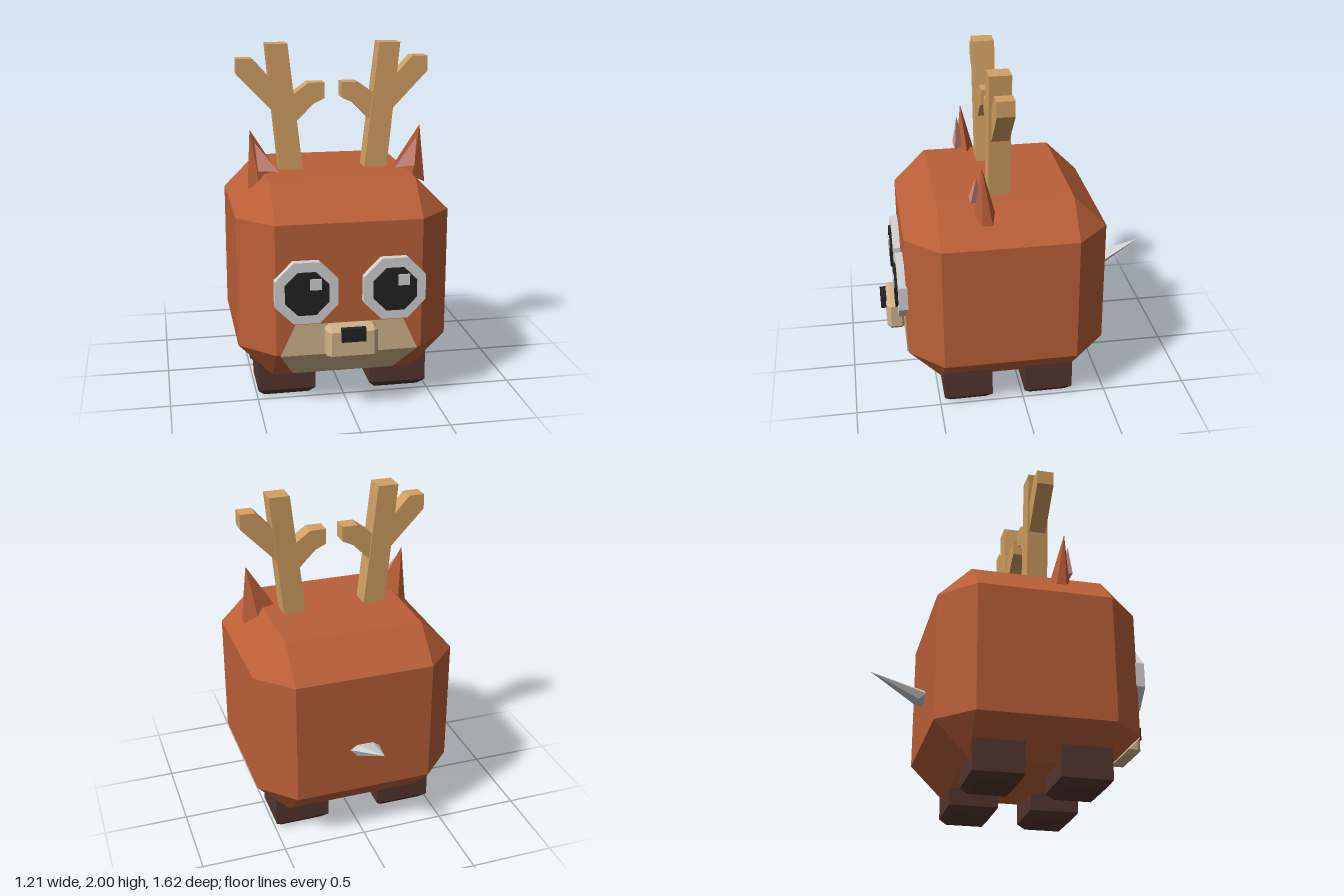
import * as THREE from 'three';
import { ConvexGeometry } from 'three/addons/geometries/ConvexGeometry.js';

const material = (name, color) => {
  const m = new THREE.MeshStandardMaterial({ color });
  m.name = name;
  return m;
};

export function createModel() {
  const fur = material('russet fur', 0xbc6038);
  const hoofBrown = material('dark brown', 0x55362f);
  const tan = material('tan', 0xd2b48c);
  const antlerTan = material('antler', 0xd2a163);
  const pink = material('ear pink', 0xdf9386);
  const pale = material('pale grey', 0xd2d2d2);
  const black = material('black', 0x222222);

  const model = new THREE.Group();
  model.name = 'deer';

  const add = (name, geometry, mat, x = 0, y = 0, z = 0) => {
    const mesh = new THREE.Mesh(geometry, mat);
    mesh.name = name;
    mesh.position.set(x, y, z);
    model.add(mesh);
    return mesh;
  };
  const hull = (points) => new ConvexGeometry(points.map((p) => new THREE.Vector3(...p)));

  // Box with every edge cut off by c
  const chamferBox = (w, h, d, c) => {
    const points = [];
    for (const sx of [-1, 1]) for (const sy of [-1, 1]) for (const sz of [-1, 1]) {
      const x = w / 2, y = h / 2, z = d / 2;
      points.push([sx * x, sy * (y - c), sz * (z - c)]);
      points.push([sx * (x - c), sy * y, sz * (z - c)]);
      points.push([sx * (x - c), sy * (y - c), sz * z]);
    }
    return hull(points);
  };

  // Flat outline given thickness along z
  const slab = (points, z0, z1) => {
    const shape = new THREE.Shape(points.map(([x, y]) => new THREE.Vector2(x, y)));
    return new THREE.ExtrudeGeometry(shape, { depth: z1 - z0, bevelEnabled: false }).translate(0, 0, z0);
  };
  const octagon = (apothem) => Array.from({ length: 8 }, (_, i) => {
    const a = (i + 0.5) * Math.PI / 4, r = apothem / Math.cos(Math.PI / 8);
    return [r * Math.cos(a), r * Math.sin(a)];
  });

  add('body', chamferBox(1.21, 1.135, 1.165, 0.193), fur, 0, 0.7075, 0.0875);

  // Feet, with the lower edges cut
  const footPoints = [];
  for (const sx of [-1, 1]) for (const sz of [-1, 1]) {
    footPoints.push([sx * 0.167, 0.22, sz * 0.145], [sx * 0.167, 0.04, sz * 0.145], [sx * 0.13, 0, sz * 0.108]);
  }
  const foot = hull(footPoints);

  // Paired parts
  for (const s of [-1, 1]) {
    const side = s > 0 ? 'left' : 'right';
    add(side + 'FrontFoot', foot, hoofBrown, s * 0.328, 0, 0.33);
    add(side + 'BackFoot', foot, hoofBrown, s * 0.328, 0, -0.155);

    // Eye rim, pupil and glint
    const ex = s * 0.246, ey = 0.705;
    add(side + 'Eye', slab(octagon(0.175), 0.66, 0.715), pale, ex, ey);
    add(side + 'Pupil', slab(octagon(0.121), 0.712, 0.73), black, ex, ey);
    add(side + 'Glint', new THREE.BoxGeometry(0.063, 0.062, 0.014), pale, ex + 0.047, 0.76, 0.731);

    // Antler trunk and its two branches
    const flip = (points) => points.map(([x, y]) => [s * x, y]);
    add(side + 'AntlerTrunk', slab(flip([[0.18, 1.26], [0.315, 1.26], [0.387, 2], [0.265, 2]]), 0.05, 0.175), antlerTan);
    add(side + 'AntlerOuterBranch', slab(flip([[0.3, 1.64], [0.35, 1.615], [0.555, 1.83],
      [0.555, 1.918], [0.463, 1.918], [0.37, 1.815], [0.3, 1.74]]), 0.06, 0.16), antlerTan);
    add(side + 'AntlerInnerBranch', slab(flip([[0.05, 1.775], [0.145, 1.775], [0.235, 1.71], [0.28, 1.67],
      [0.26, 1.58], [0.215, 1.555], [0.115, 1.655], [0.05, 1.685]]), 0.06, 0.16), antlerTan);

    // Pointed ear with a pink inside
    const outer = s > 0 ? 0.53 : 0.505;
    add(side + 'Ear', hull([[s * 0.494, 1.53, 0.235], [s * outer, 1.19, 0.24], [s * outer, 1.19, 0.18],
      [s * 0.45, 1.235, 0.157], [s * 0.45, 1.235, 0.272], [s * 0.335, 1.275, 0.215]]), fur);
    add(side + 'InnerEar', hull([[s * 0.47, 1.46, 0.262], [s * 0.455, 1.3, 0.293],
      [s * 0.337, 1.29, 0.29], [s * 0.43, 1.29, 0.22]]), pink);
  }

  // Tan face patch folded over the lower front edge
  const patch = [[0, 0.35, 0.5]];
  for (const s of [-1, 1]) {
    patch.push([s * 0.305, 0.512, 0.677], [s * 0.39, 0.33, 0.677], [s * 0.295, 0.14, 0.484]);
  }
  add('facePatch', hull(patch), tan);
  add('muzzle', chamferBox(0.288, 0.188, 0.115, 0.025), tan, 0, 0.422, 0.722);
  add('nose', new THREE.BoxGeometry(0.135, 0.075, 0.035), black, 0, 0.482, 0.793);

  // Flat spike tail
  const tail = [[0, 0.752, -0.808]];
  for (const s of [-1, 1]) {
    tail.push([s * 0.09, 0.612, -0.49], [s * 0.055, 0.588, -0.53], [s * 0.05, 0.638, -0.485], [s * 0.055, 0.59, -0.48]);
  }
  add('tail', hull(tail), pale);

  return model;
}
